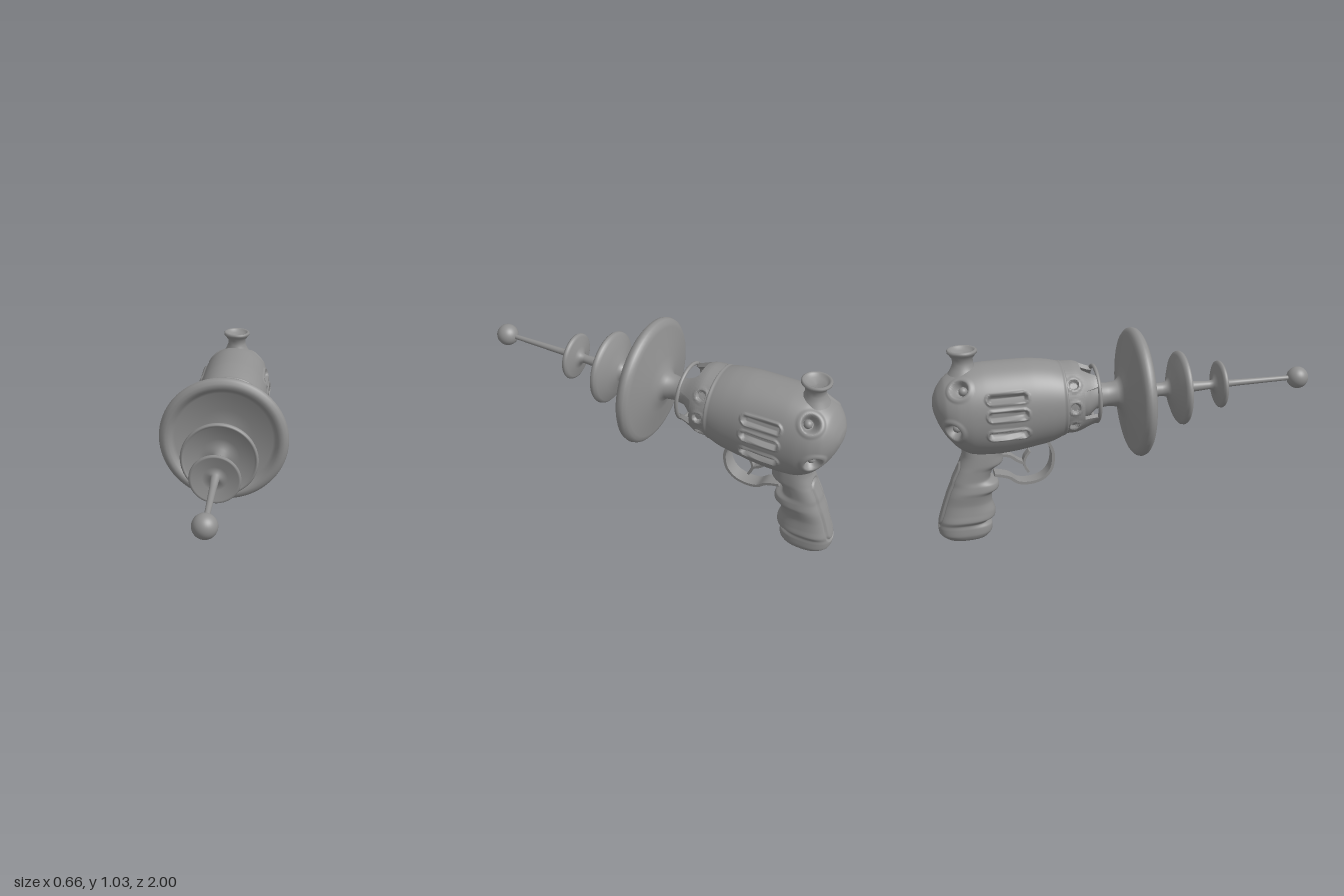
import * as THREE from 'three';
import { toCreasedNormals } from 'three/addons/utils/BufferGeometryUtils.js';

const V = (x, y, z) => new THREE.Vector3(x, y, z);
const AXIS = 0.705; // height of the barrel axis
const smooth = THREE.MathUtils.smoothstep;

// Skin closed around u, running along v: f(u, v) gives the point
function skin(nu, nv, f) {
  const pos = [], idx = [];
  for (let j = 0; j <= nv; j++)
    for (let i = 0; i < nu; i++) pos.push(...f(i / nu, j / nv).toArray());
  for (let j = 0; j < nv; j++)
    for (let i = 0; i < nu; i++) {
      const k = (i + 1) % nu;
      const a = j * nu + i, b = a + nu, c = j * nu + k, d = c + nu;
      idx.push(a, b, c, c, b, d);
    }
  const g = new THREE.BufferGeometry();
  g.setAttribute('position', new THREE.Float32BufferAttribute(pos, 3));
  g.setIndex(idx);
  g.computeVertexNormals();
  return g;
}

// Smooth interpolation through rows of four numbers
function track(rows) {
  const a = new THREE.CatmullRomCurve3(rows.map(r => V(r[0], r[1], r[2])), false, 'catmullrom', 0.4);
  const b = new THREE.CatmullRomCurve3(rows.map(r => V(r[3], 0, 0)), false, 'catmullrom', 0.4);
  return t => [...a.getPoint(t).toArray(), Math.max(0, b.getPoint(t).x)];
}

const power = (c, e) => Math.sign(c) * Math.pow(Math.abs(c), e);

// Depth of a recess with a raised rim, at distance d from its middle
const recess = (d, r, depth, rim) =>
  -depth * (1 - smooth(d, r * 0.72, r)) + rim * smooth(d, r * 0.9, r * 1.15) * (1 - smooth(d, r * 1.3, r * 1.7));

function segmentDistance(p, a, b) {
  return new THREE.Line3(a, b).closestPointToPoint(p, true, V(0, 0, 0)).distanceTo(p);
}

// Flat band following a side-on path of [z, y] points
function ribbon(path, thick, width) {
  const curve = new THREE.SplineCurve(path.map(p => new THREE.Vector2(...p)));
  const near = [], far = [];
  for (let i = 0; i <= 40; i++) {
    const p = curve.getPoint(i / 40), t = curve.getTangent(i / 40);
    const n = new THREE.Vector2(-t.y, t.x).multiplyScalar(thick / 2);
    near.push(p.clone().add(n));
    far.unshift(p.clone().sub(n));
  }
  const g = new THREE.ExtrudeGeometry(new THREE.Shape([...near, ...far]), { depth: width, bevelEnabled: false });
  g.translate(0, 0, -width / 2).rotateY(-Math.PI / 2);
  return toCreasedNormals(g, 0.7);
}

const lathe = (pts, seg = 72) => new THREE.LatheGeometry(pts.map(p => new THREE.Vector2(...p)), seg);

export function createModel() {
  const model = new THREE.Group();
  const grey = new THREE.MeshStandardMaterial({ color: 0x909090, side: THREE.DoubleSide });
  grey.name = 'grey';
  const add = (name, geometry) => {
    const m = new THREE.Mesh(geometry, grey);
    m.name = name;
    model.add(m);
    return m;
  };

  // Body: oval sections [z, top, bottom, half width], with side slots and round ports
  const hull = track([
    [-0.335, 0.72, 0.70, 0], [-0.335, 0.88, 0.54, 0.175], [-0.36, 0.895, 0.515, 0.186], [-0.42, 0.91, 0.49, 0.192],
    [-0.50, 0.92, 0.475, 0.195], [-0.58, 0.922, 0.462, 0.196], [-0.66, 0.922, 0.455, 0.196], [-0.74, 0.92, 0.456, 0.194],
    [-0.81, 0.91, 0.467, 0.188], [-0.87, 0.885, 0.505, 0.174], [-0.92, 0.855, 0.565, 0.146], [-0.955, 0.81, 0.63, 0.10],
    [-0.975, 0.765, 0.69, 0.05], [-0.98, 0.73, 0.725, 0]]);
  const ports = [V(0.125, 0.84, -0.855), V(0.145, 0.635, -0.895)];
  const slots = [[0.176, 0.79], [0.195, 0.71], [0.183, 0.61]].map(([x, y]) => [V(x, y, -0.56), V(x, y, -0.71)]);
  add('body', skin(220, 150, (u, v) => {
    const [z, top, bottom, hw] = hull(v), a = u * Math.PI * 2;
    const cy = (top + bottom) / 2, ry = (top - bottom) / 2;
    const p = V(power(Math.cos(a), 0.95) * hw, cy + power(Math.sin(a), 0.95) * ry, z);
    const q = V(Math.abs(p.x), p.y, p.z);
    let slot = 0, port = 0;
    for (const [s, e] of slots) slot += recess(segmentDistance(q, s, e), 0.02, 0.02, 0.009);
    for (const c of ports) port += recess(q.distanceTo(c), 0.043, 0.04, 0.005);
    p.addScaledVector(V(Math.cos(a), Math.sin(a), 0), slot);
    return p.addScaledVector(V(p.x, p.y - 0.7, Math.min(0, p.z + 0.75)).normalize(), port);
  }));

  // Domed button inside each port
  for (const s of [1, -1])
    for (const c of ports) {
      const b = add('portButton', new THREE.SphereGeometry(0.022, 20, 14));
      b.position.set(c.x * 0.84 * s, 0.7 + (c.y - 0.7) * 0.86, c.z + 0.02);
    }

  // Flared cap with a hollow top
  add('topCap', lathe([[0.075, 0.88], [0.06, 0.905], [0.05, 0.93], [0.05, 0.955], [0.064, 0.975], [0.073, 0.985],
    [0.073, 0.995], [0.066, 1.0], [0.056, 0.996], [0.045, 0.98], [0, 0.972]], 40)).position.set(0, 0, -0.82);

  // Collar: shell whose front edge reaches forward in four struts, with a dimpled band
  const collarRadius = z => 0.148 + 0.035 * smooth(z, -0.30, -0.17) * -1 + 0.035;
  const dimples = [0, 0.65, -0.6];
  add('collar', toCreasedNormals(skin(240, 40, (u, v) => {
    const a = u * Math.PI * 2;
    const edge = -0.255 + 0.085 * smooth(Math.abs(Math.sin(2 * a)), 0.72, 0.97);
    const outer = v <= 0.7;
    const t = outer ? v / 0.7 : 1 - Math.min(1, (v - 0.7) / 0.275);
    const z = v > 0.98 ? edge : THREE.MathUtils.lerp(edge, -0.35, t);
    let r = collarRadius(z) - (outer || v > 0.98 ? 0 : 0.022);
    if (outer)
      for (const d of dimples) {
        const side = Math.atan2(Math.sin(a), Math.abs(Math.cos(a))) - d;
        r += recess(Math.hypot(side * 0.18, z + 0.305), 0.026, 0.018, 0.003);
      }
    return V(Math.cos(a) * r, AXIS + 0.005 + Math.sin(a) * r, z);
  }), 0.9));
  const ring = add('collarRing', new THREE.TorusGeometry(0.142, 0.01, 10, 72));
  ring.position.set(0, AXIS + 0.008, -0.172);

  // Barrel with three dished discs, turned in one piece from back to front
  const barrel = lathe([
    [0.13, -0.35], [0.125, -0.27], [0.105, -0.215], [0.068, -0.17], [0.06, -0.11], [0.066, -0.06], [0.09, -0.036],
    [0.15, -0.022], [0.27, 0.003], [0.29, 0.006], [0.31, 0.011], [0.326, 0.025], [0.331, 0.042], [0.325, 0.06],
    [0.31, 0.072], [0.293, 0.074], [0.277, 0.067], [0.265, 0.052], [0.25, 0.04], [0.15, 0.016], [0.06, 0.004],
    [0.046, 0.03], [0.04, 0.1], [0.034, 0.18], [0.04, 0.208], [0.06, 0.222], [0.12, 0.24], [0.175, 0.262],
    [0.189, 0.274], [0.192, 0.287], [0.187, 0.297], [0.178, 0.297], [0.17, 0.286], [0.1, 0.265], [0.042, 0.256],
    [0.031, 0.3], [0.022, 0.44], [0.027, 0.464], [0.06, 0.475], [0.108, 0.484], [0.121, 0.491], [0.124, 0.501],
    [0.119, 0.51], [0.111, 0.507], [0.06, 0.495], [0.021, 0.49], [0.017, 0.6], [0.012, 0.92]]);
  barrel.rotateX(Math.PI / 2);
  add('barrel', barrel).position.y = AXIS - 0.003;
  const tip = add('barrelTip', new THREE.SphereGeometry(0.058, 32, 24));
  tip.position.set(0, 0.70, 0.942);

  // Grip: rounded sections [y, front z, back z, half width] with finger ridges
  const grip = track([
    [0.52, -0.63, -0.85, 0.085], [0.455, -0.652, -0.855, 0.09], [0.41, -0.655, -0.873, 0.092], [0.38, -0.70, -0.887, 0.09],
    [0.33, -0.72, -0.912, 0.09], [0.302, -0.683, -0.922, 0.096], [0.272, -0.68, -0.935, 0.1], [0.248, -0.712, -0.945, 0.096],
    [0.20, -0.718, -0.963, 0.09], [0.15, -0.704, -0.98, 0.095], [0.115, -0.708, -0.991, 0.1], [0.092, -0.744, -0.996, 0.088],
    [0.07, -0.724, -0.999, 0.09], [0.035, -0.726, -0.993, 0.09], [0.01, -0.745, -0.965, 0.078], [0, -0.77, -0.94, 0.06],
    [0, -0.85, -0.85, 0]]);
  const strap = [V(0, 0.38, -0.887), V(0, 0.12, -0.99)];
  add('grip', skin(112, 140, (u, v) => {
    const [y, zf, zb, hw] = grip(v), a = u * Math.PI * 2;
    const p = V(power(Math.sin(a), 0.8) * hw, Math.max(0, y), (zf + zb) / 2 + power(Math.cos(a), 0.8) * (zf - zb) / 2);
    // Groove outlining the back strap
    const d = segmentDistance(p, ...strap);
    if (Math.cos(a) < 0) p.z += 0.008 * (1 - smooth(Math.abs(d - 0.042), 0.003, 0.01));
    return p;
  }));

  // Trigger guard and trigger
  add('triggerGuard', ribbon([[-0.43, 0.50], [-0.405, 0.45], [-0.397, 0.40], [-0.412, 0.335], [-0.455, 0.29],
    [-0.515, 0.273], [-0.58, 0.28], [-0.63, 0.315], [-0.70, 0.335]], 0.015, 0.074));
  add('trigger', ribbon([[-0.515, 0.44], [-0.54, 0.405], [-0.545, 0.365], [-0.525, 0.325]], 0.012, 0.045));
  add('triggerArm', ribbon([[-0.542, 0.375], [-0.58, 0.395], [-0.62, 0.425], [-0.68, 0.435]], 0.014, 0.045));

  return model;
}
